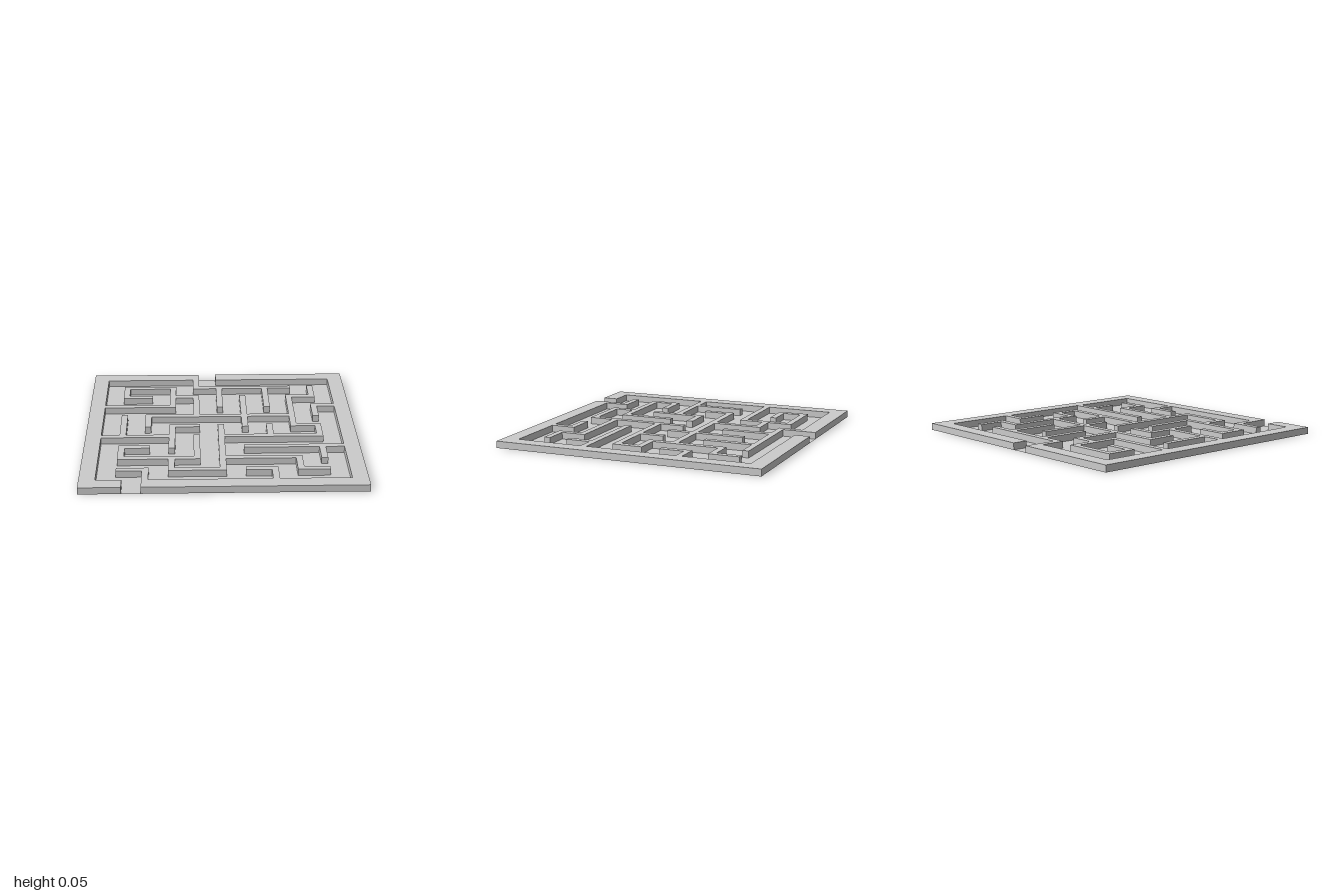
import * as THREE from 'three';

const HEIGHT = 0.05;
const PITCH = 2 / 11;      // distance between wall centre lines
const HALF = 0.0235;       // half a wall thickness
const N = 21;              // alternating wall strips and corridor strips

// Wall centre lines as x, z pairs on a grid from -5 to 5
const WALLS = {
  back: [
    [-1, -5, -1, -4, 3, -4], [0, -4, 0, -2], [2, -4, 2, -2],
  ],
  spiral: [
    [-5, -2, -2, -2, -2, -4, -4, -4, -4, -3, -3, -3], [-2, -3, -1, -3, -1, -1],
  ],
  middle: [
    [-3, 0, -3, -1, 3, -1], [1, -3, 1, 0], [4, -4, 4, -3, 3, -3, 3, 0, 4, 0, 4, 1, 0, 1],
    [-5, 1, -2, 1], [-4, -1, -4, 1], [-1, 0, -2, 0, -2, 2], [2, 0, 2, 1],
  ],
  front: [
    [0, 0, 0, 4, -2, 4, -2, 3], [0, 3, 3, 3, 3, 4, 4, 4],
    [-3, 2, -4, 2, -4, 3, -1, 3, -1, 1],
  ],
  edges: [
    [5, -2, 4, -2, 4, -1], [5, 2, 1, 2], [4, 2, 4, 3],
    [1, 4, 2, 4, 2, 5], [-4, 4, -3, 4, -3, 5],
  ],
  rim: [[-5, -5, 5, -5, 5, 5, -5, 5, -5, -5]],
};

// Strip boundaries; the rim strips reach out to the edge of the board
const bounds = [-1];
for (let k = -5; k <= 5; k++) {
  if (k > -5) bounds.push(k * PITCH - HALF);
  if (k < 5) bounds.push(k * PITCH + HALF);
}
bounds.push(1);

// Mark every strip crossing that a wall covers
function layout() {
  const solid = Array.from({ length: N }, () => new Array(N).fill(false));
  for (const path of Object.values(WALLS).flat()) {
    for (let p = 0; p + 3 < path.length; p += 2) {
      const [x0, z0, x1, z1] = path.slice(p, p + 4).map(v => 2 * (v + 5));
      for (let z = Math.min(z0, z1); z <= Math.max(z0, z1); z++)
        for (let x = Math.min(x0, x1); x <= Math.max(x0, x1); x++) solid[z][x] = true;
    }
  }
  solid[0][9] = false;        // back opening
  solid[N - 1][3] = false;    // front opening
  return solid;
}

function quadMesh(name, quads, material) {
  const positions = [];
  for (const [a, b, c, d] of quads) positions.push(...a, ...b, ...c, ...a, ...c, ...d);
  const geometry = new THREE.BufferGeometry();
  geometry.setAttribute('position', new THREE.Float32BufferAttribute(positions, 3));
  geometry.computeVertexNormals();
  const mesh = new THREE.Mesh(geometry, material);
  mesh.name = name;
  return mesh;
}

export function createModel() {
  const solid = layout();
  const floor = [], tops = [], sides = [];
  const steps = [[0, 1], [1, 0], [0, -1], [-1, 0]];

  for (let z = 0; z < N; z++) {
    for (let x = 0; x < N; x++) {
      const x0 = bounds[x], x1 = bounds[x + 1], z0 = bounds[z], z1 = bounds[z + 1];
      const corners = [[x0, z1], [x1, z1], [x1, z0], [x0, z0]];
      const at = (i, y) => [corners[i % 4][0], y, corners[i % 4][1]];
      const flat = y => [0, 1, 2, 3].map(i => at(i, y));
      if (!solid[z][x]) {
        floor.push(flat(0));
        continue;
      }
      tops.push(flat(HEIGHT));
      // A side face wherever the wall meets a corridor or the outside
      steps.forEach(([dx, dz], i) => {
        if (!solid[z + dz]?.[x + dx])
          sides.push([at(i, 0), at(i + 1, 0), at(i + 1, HEIGHT), at(i, HEIGHT)]);
      });
    }
  }

  // Thin shell: the walls are hollow and open underneath
  const material = new THREE.MeshStandardMaterial({ color: 0xcccccc, side: THREE.DoubleSide });
  const group = new THREE.Group();
  group.name = 'maze';
  group.add(
    quadMesh('corridorFloor', floor, material),
    quadMesh('wallTops', tops, material),
    quadMesh('wallSides', sides, material),
  );
  return group;
}
